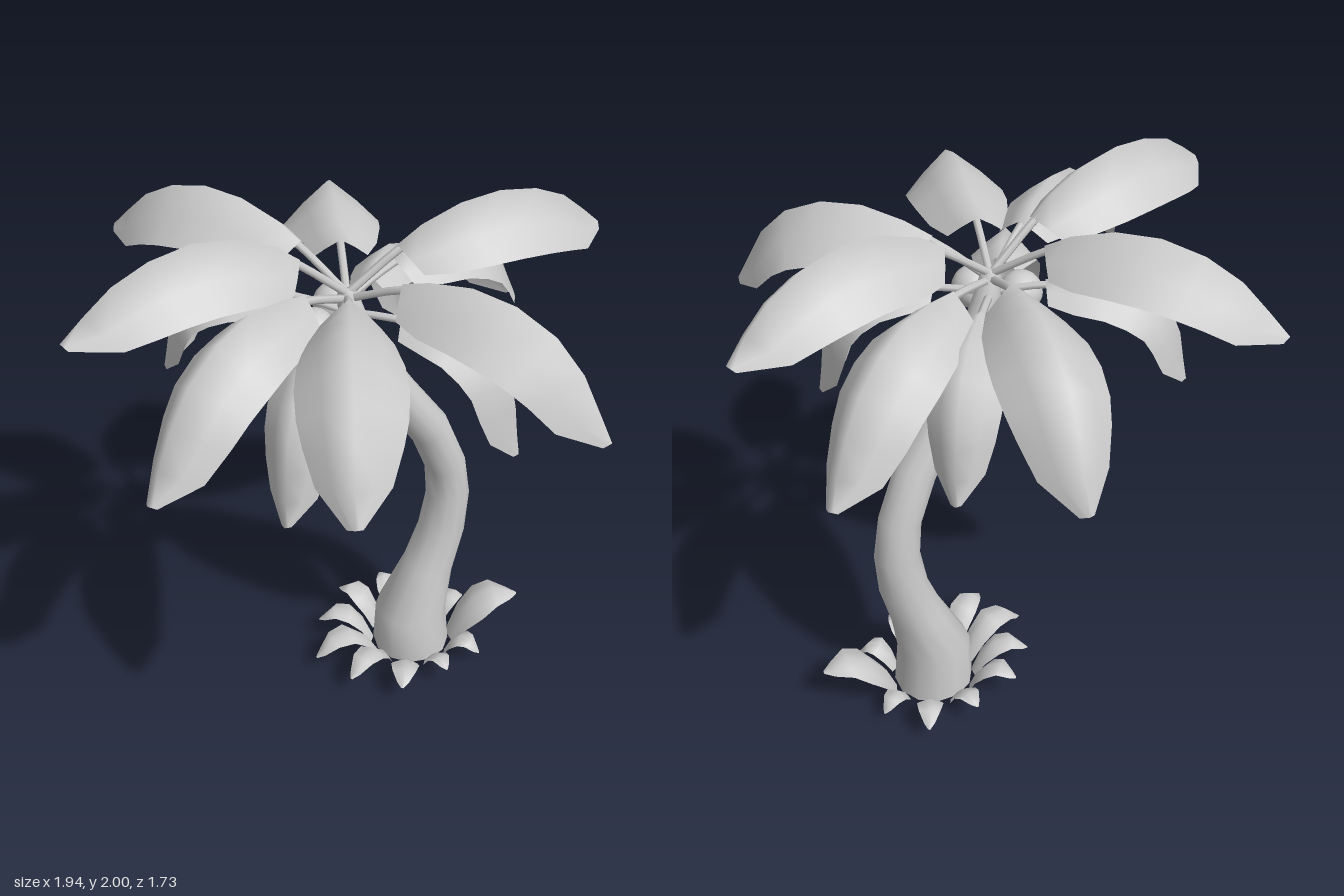
import * as THREE from 'three';

const V = (x, y, z) => new THREE.Vector3(x, y, z);
const UP = V(0, 1, 0);
const solid = new THREE.MeshStandardMaterial({ color: 0xcccccc });
const thin = new THREE.MeshStandardMaterial({ color: 0xcccccc, side: THREE.DoubleSide });

function add(parent, name, geometry, material) {
  const mesh = new THREE.Mesh(geometry, material);
  mesh.name = name;
  parent.add(mesh);
  return mesh;
}

// Skin a surface over rows of points; closed rows wrap around.
function loft(rows, closed) {
  const n = rows[0].length, index = [];
  for (let i = 0; i < rows.length - 1; i++) {
    for (let j = 0; j < (closed ? n : n - 1); j++) {
      const k = (j + 1) % n;
      const a = i * n + j, b = a + n, c = (i + 1) * n + k, d = i * n + k;
      index.push(a, b, c, a, c, d);
    }
  }
  const geometry = new THREE.BufferGeometry().setFromPoints(rows.flat());
  geometry.setIndex(index);
  geometry.computeVertexNormals();
  return geometry;
}

// Ridged leaf blade along a curve; profile holds [position along curve, half width].
function blade(curve, profile, scale, droop) {
  const rows = profile.map(([t, w]) => {
    const p = curve.getPointAt(t), tangent = curve.getTangentAt(t);
    const side = UP.clone().cross(tangent).normalize();
    const normal = tangent.clone().cross(side);
    return [-1, -0.55, 0, 0.55, 1].map(u => p.clone()
      .addScaledVector(side, u * w * scale)
      .addScaledVector(normal, -droop * w * scale * Math.abs(u) ** 1.15));
  });
  return loft(rows, false);
}

function makeTrunk() {
  const trunk = new THREE.Group();
  trunk.name = 'trunk';
  // x, y, radius
  const stations = [
    [0.29, 0.02, 0.15], [0.285, 0.2, 0.138], [0.355, 0.39, 0.1], [0.41, 0.56, 0.09],
    [0.43, 0.72, 0.082], [0.41, 0.87, 0.077], [0.335, 1.05, 0.076], [0.205, 1.24, 0.07],
    [0.08, 1.45, 0.058], [0.02, 1.6, 0.05], [0, 1.7, 0.035],
  ];
  const sides = 12;
  const rows = stations.map(([x, y, r], i) => {
    const a = stations[Math.max(i - 1, 0)], b = stations[Math.min(i + 1, stations.length - 1)];
    const t = i < 2 ? UP : V(b[0] - a[0], b[1] - a[1], 0).normalize();
    return Array.from({ length: sides }, (_, j) => {
      const q = (j / sides) * Math.PI * 2;
      return V(x + t.y * r * Math.cos(q), y - t.x * r * Math.cos(q), r * Math.sin(q));
    });
  });
  const [topX, topY] = stations[stations.length - 1];
  rows.push(Array.from({ length: sides }, () => V(topX, topY + 0.02, 0)));
  add(trunk, 'stem', loft(rows, true), solid);
  const base = add(trunk, 'stemBase', new THREE.CircleGeometry(0.15, sides), solid);
  base.rotation.x = Math.PI / 2;
  base.position.set(0.29, 0.02, 0);
  return trunk;
}

function makeFronds() {
  const fronds = new THREE.Group();
  fronds.name = 'fronds';
  const profile = [[0.2, 0.1], [0.29, 0.145], [0.42, 0.172], [0.55, 0.18],
    [0.68, 0.173], [0.8, 0.155], [0.91, 0.118], [1, 0.025]];
  // tip x, tip y, tip z, ridge height, start height, width scale, sideways bow, tip curl
  const list = [
    [0.97, 1.74, 0.03, 1.97, 1.7, 1, 0.04, 0], [-0.97, 1.81, 0.03, 2.0, 1.7, 1, 0.04, 0],
    [-0.49, 1.68, -0.85, 1.94, 1.7, 0.95, 0, 0], [0.35, 1.42, -0.87, 1.83, 1.68, 0.95, 0, 0.03],
    [-0.87, 1.41, 0.38, 1.84, 1.68, 0.9, 0, 0], [0.86, 1.33, -0.28, 1.77, 1.68, 0.9, 0, 0],
    [-0.43, 1.5, 0.86, 1.86, 1.68, 0.95, 0, 0.03], [0.47, 1.48, 0.84, 1.86, 1.68, 0.95, 0, 0.03],
    [-0.44, 1.18, 0.41, 1.66, 1.63, 0.68, 0, 0.1], [0.42, 1.19, 0.44, 1.66, 1.63, 0.68, 0, 0.1],
    [0.49, 1.24, -0.42, 1.68, 1.63, 0.68, 0, 0.1], [-0.49, 1.31, -0.45, 1.7, 1.63, 0.68, 0, 0.1],
  ];
  for (const [x, y, z, ridge, start, scale, bow, curl] of list) {
    const reach = Math.hypot(x, z);
    const at = (f, h) => {
      const b = bow * Math.sin(f * Math.PI) / reach;
      return V(x * f - z * b, h, z * f + x * b);
    };
    const curve = new THREE.CatmullRomCurve3([
      at(0, start), at(0.27, start + (ridge - start) * 0.78), at(0.53 + curl, ridge),
      at(0.79 + curl, y + (ridge - y) * 0.72), at(1, y)]);
    const frond = new THREE.Group();
    frond.name = 'frond';
    add(frond, 'frondBlade', blade(curve, profile, scale, 0.9), thin);
    // Stalk from the crown, ending just under the start of the blade
    const stalk = new THREE.CatmullRomCurve3([0, 0.1, 0.18, 0.25].map((t, i) =>
      curve.getPointAt(t).add(V(0, -0.009 * i, 0))));
    add(frond, 'frondStalk', new THREE.TubeGeometry(stalk, 5, 0.014, 6), solid);
    fronds.add(frond);
  }
  return fronds;
}

function makeNuts() {
  const nuts = new THREE.Group();
  nuts.name = 'nuts';
  for (const p of [[-0.03, 1.58, 0.13], [-0.12, 1.59, -0.01], [0.02, 1.59, -0.13]]) {
    add(nuts, 'nut', new THREE.SphereGeometry(0.075, 16, 12), solid).position.set(...p);
  }
  return nuts;
}

function makeBaseLeaves() {
  const leaves = new THREE.Group();
  leaves.name = 'baseLeaves';
  const profile = [[0, 0.03], [0.25, 0.045], [0.5, 0.055], [0.75, 0.045], [0.92, 0.022], [1, 0.004]];
  // angle in degrees, reach, peak height, tip height, width scale
  const list = [
    [18, 0.43, 0.23, 0.19, 1.8], [55, 0.3, 0.13, 0.06, 0.9],
    [92, 0.3, 0.13, 0.1, 0.8], [125, 0.37, 0.14, 0.1, 1], [155, 0.4, 0.17, 0.1, 1],
    [182, 0.42, 0.18, 0.08, 1.1], [210, 0.37, 0.17, 0.1, 1], [240, 0.34, 0.17, 0.12, 1],
    [275, 0.31, 0.14, 0.11, 0.9], [310, 0.34, 0.14, 0.08, 0.9], [345, 0.3, 0.12, 0.06, 0.8],
  ];
  for (const [deg, reach, peak, tip, scale] of list) {
    const q = THREE.MathUtils.degToRad(deg);
    const at = (r, y) => V(0.29 + Math.cos(q) * r, y, Math.sin(q) * r);
    const span = reach - 0.15;
    const curve = new THREE.CatmullRomCurve3([at(0.15, 0.01), at(0.15 + span * 0.2, peak * 0.6),
      at(0.15 + span * 0.6, peak), at(reach, tip)]);
    add(leaves, 'baseLeaf', blade(curve, profile, scale, 0.35), thin);
  }
  return leaves;
}

export function createModel() {
  const palm = new THREE.Group();
  palm.name = 'palmTree';
  palm.add(makeTrunk(), makeFronds(), makeNuts(), makeBaseLeaves());
  return palm;
}
